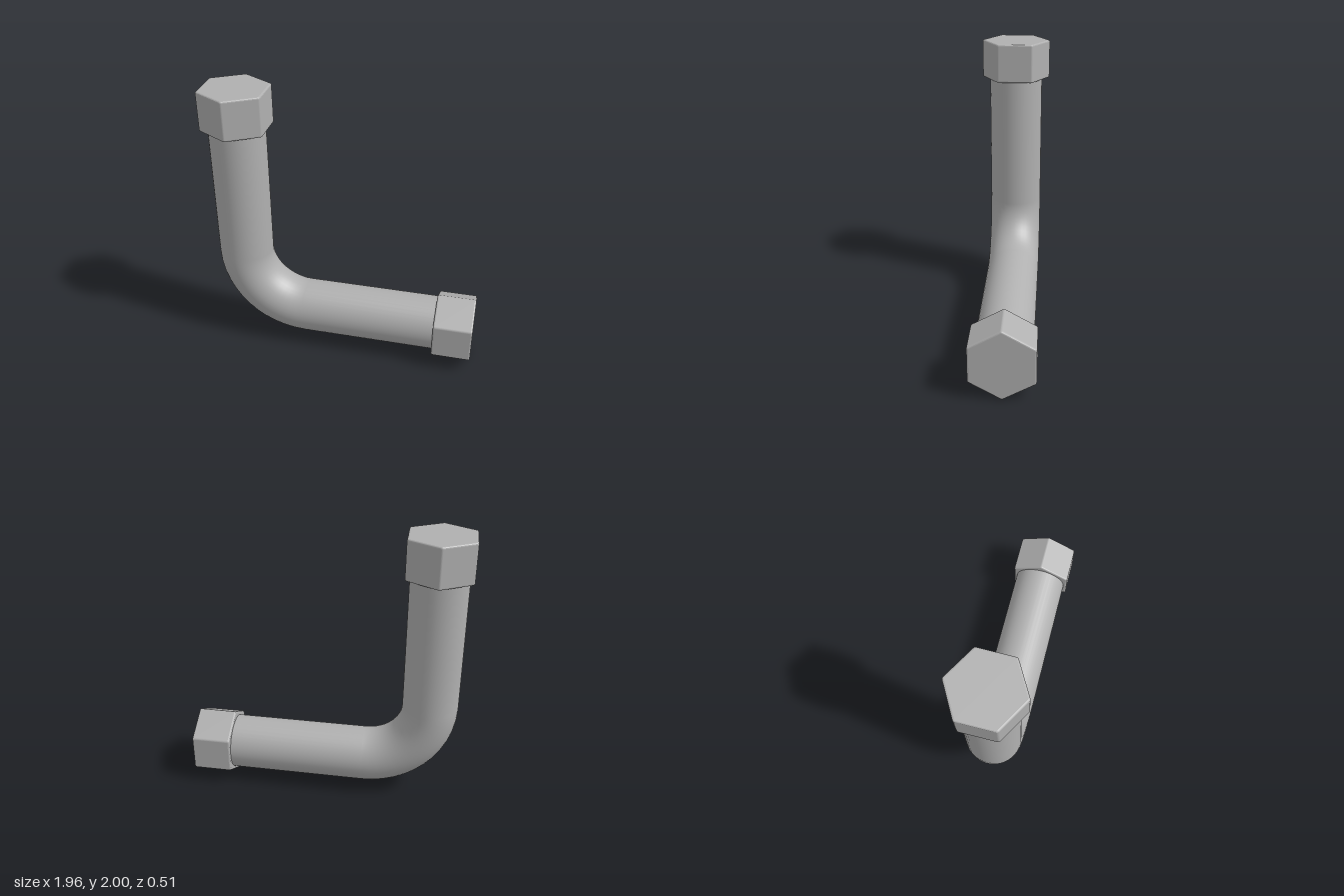
import * as THREE from 'three';

const PIPE_R = 0.2, BEND_R = 0.47;
const AXIS_X = -0.76, AXIS_Y = 0.257; // centre lines of the upright and level runs
const CAP_H = 0.285, CAP_APOTHEM = 0.2235, BEVEL = 0.012;
const SIDES = 40;

// Hexagonal cap with softened edges, extruded along +z, corners on +y and -y
function capGeometry() {
  const round = 0.018;
  const reach = (CAP_APOTHEM - round) / Math.cos(Math.PI / 6);
  const shape = new THREE.Shape();
  for (let i = 0; i < 6; i++) {
    const a = Math.PI / 2 + i * Math.PI / 3;
    shape.absarc(reach * Math.cos(a), reach * Math.sin(a), round, a - Math.PI / 6, a + Math.PI / 6, false);
  }
  shape.closePath();
  const geometry = new THREE.ExtrudeGeometry(shape, {
    depth: CAP_H - 2 * BEVEL, curveSegments: 4,
    bevelEnabled: true, bevelThickness: BEVEL, bevelSize: BEVEL, bevelOffset: -BEVEL, bevelSegments: 3,
  });
  return geometry.translate(0, 0, BEVEL);
}

export function createModel() {
  const group = new THREE.Group();
  const metal = new THREE.MeshStandardMaterial({ color: 0xb0b0b0 });
  metal.name = 'grey metal';

  const add = (name, geometry, x, y) => {
    const mesh = new THREE.Mesh(geometry, metal);
    mesh.name = name;
    mesh.position.set(x, y, 0);
    group.add(mesh);
  };

  const bendX = AXIS_X + BEND_R, bendY = AXIS_Y + BEND_R;

  // Straight runs, ending inside the caps
  const upTop = 1.9, rightEnd = 0.88;
  add('uprightPipe', new THREE.CylinderGeometry(PIPE_R, PIPE_R, upTop - bendY, SIDES, 1, true),
    AXIS_X, (upTop + bendY) / 2);
  add('levelPipe', new THREE.CylinderGeometry(PIPE_R, PIPE_R, rightEnd - bendX, SIDES, 1, true).rotateZ(-Math.PI / 2),
    (rightEnd + bendX) / 2, AXIS_Y);

  // Quarter-turn elbow
  add('elbow', new THREE.TorusGeometry(BEND_R, PIPE_R, SIDES, 12, Math.PI / 2).rotateZ(Math.PI), bendX, bendY);

  // Hexagonal end caps
  add('topCap', capGeometry().rotateX(-Math.PI / 2), AXIS_X, 2 - CAP_H);
  add('sideCap', capGeometry().rotateY(Math.PI / 2), 0.98 - CAP_H, AXIS_Y);

  return group;
}
